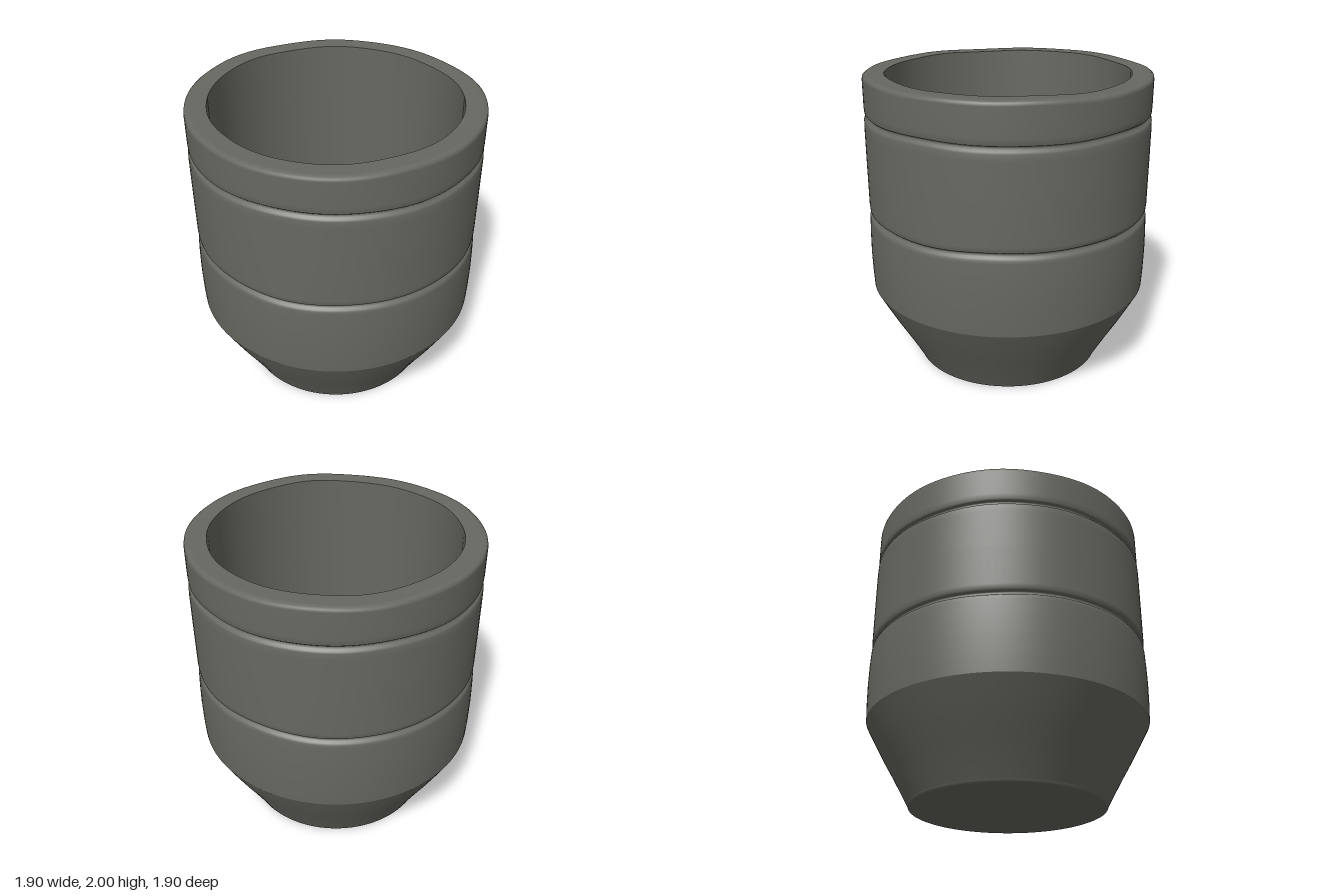
import * as THREE from 'three';

const SEGMENTS = 128;

export function createModel() {
  const pot = new THREE.Group();
  pot.name = 'cup';
  const clay = new THREE.MeshStandardMaterial({ color: 0x686862 });
  clay.name = 'grey clay';

  // gentle hand-made waviness of the grooves and the rim
  const wobble = (a, phase) =>
    0.004 * Math.sin(2 * a + phase) + 0.003 * Math.sin(5 * a + 2 * phase) + 0.002 * Math.sin(9 * a + phase);

  // one smooth band of the wall; profiles run up the outside and down the inside
  function band(name, profile, waveFrom = Infinity) {
    const geo = new THREE.LatheGeometry(profile.map(([r, y]) => new THREE.Vector2(r, y)), SEGMENTS);
    const pos = geo.attributes.position;
    for (let i = 0; i < pos.count; i++) {
      const y = pos.getY(i);
      if (y < waveFrom) continue;
      const a = Math.atan2(pos.getX(i), pos.getZ(i));
      pos.setY(i, y + wobble(a, y > 1.9 ? 0.5 : y > 1.4 ? 2 : 4));
    }
    const mesh = new THREE.Mesh(geo, clay);
    mesh.name = name;
    pot.add(mesh);
  }

  // rounded groove with a sharp overhanging upper lip
  const groove = (y) => [
    [0.941, y - 0.045], [0.935, y - 0.033], [0.922, y - 0.024],
    [0.916, y - 0.014], [0.918, y - 0.005], [0.93, y],
  ];

  band('base', [[0, 0], [0.63, 0]]);
  band('footEdge', [[0.63, 0], [0.64, 0.004], [0.645, 0.018]]);
  band('taperedFoot', [[0.645, 0.018], [0.695, 0.11], [0.757, 0.22], [0.825, 0.335], [0.888, 0.45], [0.941, 0.55]]);
  band('lowerWall', [[0.941, 0.55], [0.946, 0.65], [0.949, 0.8], [0.947, 0.93], [0.943, 1.03], ...groove(1.092)], 1);
  band('middleWall', [[0.93, 1.092], [0.939, 1.1], [0.942, 1.13], [0.943, 1.4], [0.943, 1.66], ...groove(1.746)], 1.05);
  band('upperWall', [[0.93, 1.746], [0.938, 1.754], [0.94, 1.79], [0.94, 1.965], [0.937, 1.982], [0.925, 1.991], [0.905, 1.993]], 1.7);
  band('rim', [[0.905, 1.993], [0.8, 1.991]], 1.9);

  // hollow inside, following the outer shape
  band('innerWall', [[0.8, 1.991], [0.8, 1.6], [0.8, 0.75], [0.795, 0.62], [0.77, 0.52], [0.7, 0.38], [0.57, 0.15]], 1.9);
  band('innerFloor', [[0.57, 0.15], [0, 0.15]]);

  return pot;
}
